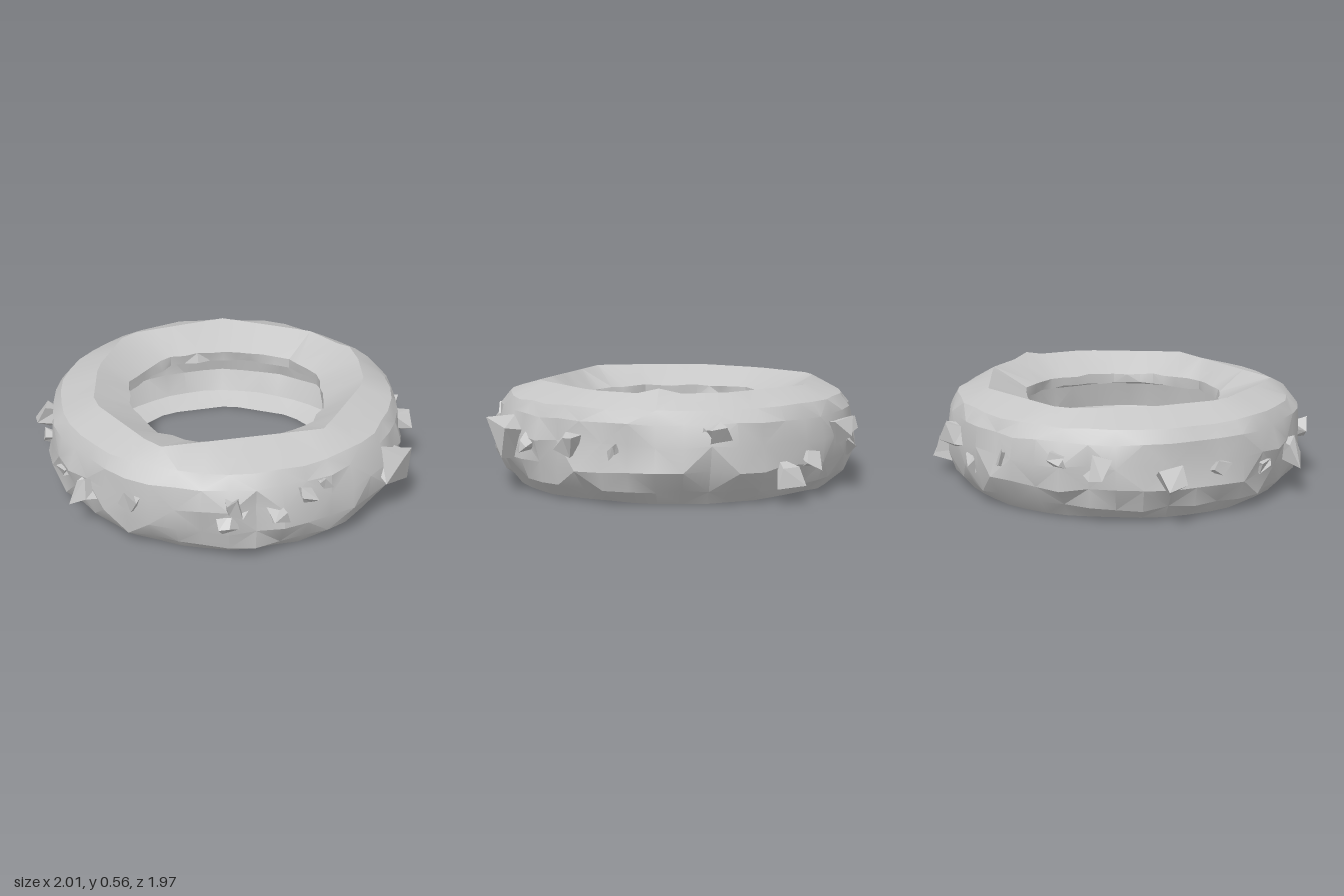
import * as THREE from 'three';
import { toCreasedNormals } from 'three/addons/utils/BufferGeometryUtils.js';

const SEGMENTS = 44;
const CX = 0.02; // the casing sits slightly off centre because of the lumps

function seeded(seed) {
  return () => {
    seed = (seed * 16807) % 2147483647;
    return seed / 2147483647;
  };
}

// Radius of a closed [x, z] polygon along the direction a
function polygonRadius(points, a) {
  const dx = Math.cos(a), dz = Math.sin(a);
  for (let i = 0; i < points.length; i++) {
    const [px, pz] = points[i], [qx, qz] = points[(i + 1) % points.length];
    const ex = qx - px, ez = qz - pz;
    const den = dx * ez - dz * ex;
    if (Math.abs(den) < 1e-6) continue;
    const r = (px * ez - pz * ex) / den;
    const t = (px * dz - pz * dx) / den;
    if (r > 0 && t >= 0 && t <= 1) return r;
  }
  return 0.7;
}

// Coarse rim edges, listed around the wheel
const TOP_EDGE = [[-0.17, -0.77], [0.41, -0.64], [0.73, -0.22], [0.77, 0.05], [0.74, 0.21],
  [0.6, 0.44], [0.11, 0.73], [-0.69, 0.42], [-0.72, -0.16], [-0.5, -0.5]];
const LIP = [[-0.37, -0.4], [-0.14, -0.52], [0.02, -0.55], [0.28, -0.45], [0.38, -0.37], [0.54, -0.15],
  [0.56, 0.1], [0.38, 0.38], [0.2, 0.5], [-0.16, 0.53], [-0.34, 0.42], [-0.52, 0.15], [-0.5, -0.15]];
const BOTTOM_EDGE = Array.from({ length: 11 }, (_, i) => {
  const a = (i / 11) * Math.PI * 2 + 0.2;
  return [0.67 * Math.cos(a), 0.67 * Math.sin(a)];
});

// Hollow casing: profile rows of [radius or polygon, height, roughness]
function casingGeometry() {
  const random = seeded(77);
  const rows = [
    [TOP_EDGE, 0.542, 0], [0.885, 0.475, 0.01], [0.93, 0.41, 0.014], [0.945, 0.3, 0.026],
    [0.95, 0.18, 0.026], [0.91, 0.08, 0.022], [0.84, 0.014, 0.01], [BOTTOM_EDGE, 0.008, 0],
    [0.77, 0.06, 0.006], [0.815, 0.18, 0.008], [0.79, 0.32, 0.008], [0.72, 0.4, 0.008],
    [LIP, 0.385, 0.012], [LIP, 0.44, 0.01],
  ];
  const position = [], index = [];
  for (const [shape, y, rough] of rows) {
    for (let i = 0; i < SEGMENTS; i++) {
      const a = (i / SEGMENTS) * Math.PI * 2;
      const r = (Array.isArray(shape) ? polygonRadius(shape, a) : shape) + (random() - 0.5) * 2 * rough;
      // one raised corner on the top edge
      const bump = shape === TOP_EDGE && i === 1 ? 0.025 : 0;
      position.push(CX + r * Math.cos(a), y + bump + (random() - 0.5) * rough, r * Math.sin(a));
    }
  }
  for (let j = 0; j < rows.length; j++) {
    for (let i = 0; i < SEGMENTS; i++) {
      const k = (i + 1) % SEGMENTS, n = (j + 1) % rows.length;
      const a = j * SEGMENTS + i, b = j * SEGMENTS + k;
      const c = n * SEGMENTS + i, d = n * SEGMENTS + k;
      if ((i + j) % 2) index.push(a, b, c, b, d, c);
      else index.push(a, b, d, a, d, c);
    }
  }
  const geometry = new THREE.BufferGeometry();
  geometry.setAttribute('position', new THREE.Float32BufferAttribute(position, 3));
  geometry.setIndex(index);
  return toCreasedNormals(geometry, 0.4);
}

// Broken tread block: a box with each corner pushed at random
function lumpGeometry(random) {
  const geometry = new THREE.BoxGeometry(2, 2, 2);
  const p = geometry.attributes.position;
  const corners = Array.from({ length: 8 }, () => [0, 0, 0].map(() => 0.15 + random() * 1.05));
  for (let i = 0; i < p.count; i++) {
    const v = [p.getX(i), p.getY(i), p.getZ(i)];
    const id = (v[0] > 0 ? 1 : 0) + (v[1] > 0 ? 2 : 0) + (v[2] > 0 ? 4 : 0);
    p.setXYZ(i, ...v.map((s, n) => s * corners[id][n]));
  }
  return toCreasedNormals(geometry, 0.1);
}

// Lumps on the outer wall: [x, y, z, half size]
const LUMPS = [
  [-0.92, 0.24, 0.13, 0.075], [-0.72, 0.25, -0.64, 0.06], [-0.43, 0.3, -0.85, 0.06],
  [-0.24, 0.33, -0.92, 0.055], [0.1, 0.28, -0.93, 0.045], [0.33, 0.22, -0.88, 0.05],
  [0.52, 0.32, -0.81, 0.07], [0.73, 0.2, -0.64, 0.05], [0.84, 0.15, -0.51, 0.075],
  [0.93, 0.36, -0.17, 0.065], [0.93, 0.33, -0.1, 0.045], [0.92, 0.28, 0.33, 0.035],
  [0.8, 0.31, 0.54, 0.055], [0.59, 0.27, 0.76, 0.06], [0.46, 0.32, 0.86, 0.11],
  [-0.02, 0.38, 0.92, 0.035], [-0.13, 0.34, 0.93, 0.04], [-0.28, 0.27, 0.9, 0.06],
  [-0.46, 0.33, 0.81, 0.055], [-0.5, 0.24, 0.79, 0.055], [-0.82, 0.3, 0.42, 0.05],
  [-0.83, 0.28, -0.4, 0.045], [-0.9, 0.22, -0.1, 0.04],
];

export function createModel() {
  const group = new THREE.Group();
  group.name = 'wornTyre';
  const grey = new THREE.MeshStandardMaterial({ color: 0xc6c6c6 });
  grey.name = 'light grey rubber';

  const casing = new THREE.Mesh(casingGeometry(), grey);
  casing.name = 'casing';
  group.add(casing);

  const random = seeded(1234);
  const lumps = new THREE.Group();
  lumps.name = 'treadLumps';
  LUMPS.forEach(([x, y, z, size], i) => {
    const lump = new THREE.Mesh(lumpGeometry(random), grey);
    lump.name = `treadLump${i + 1}`;
    lump.position.set(x, y, z);
    lump.scale.setScalar(size);
    lump.rotation.set(random() * 0.8, Math.atan2(x, z), random() * 1.5);
    lumps.add(lump);
  });
  group.add(lumps);
  return group;
}
